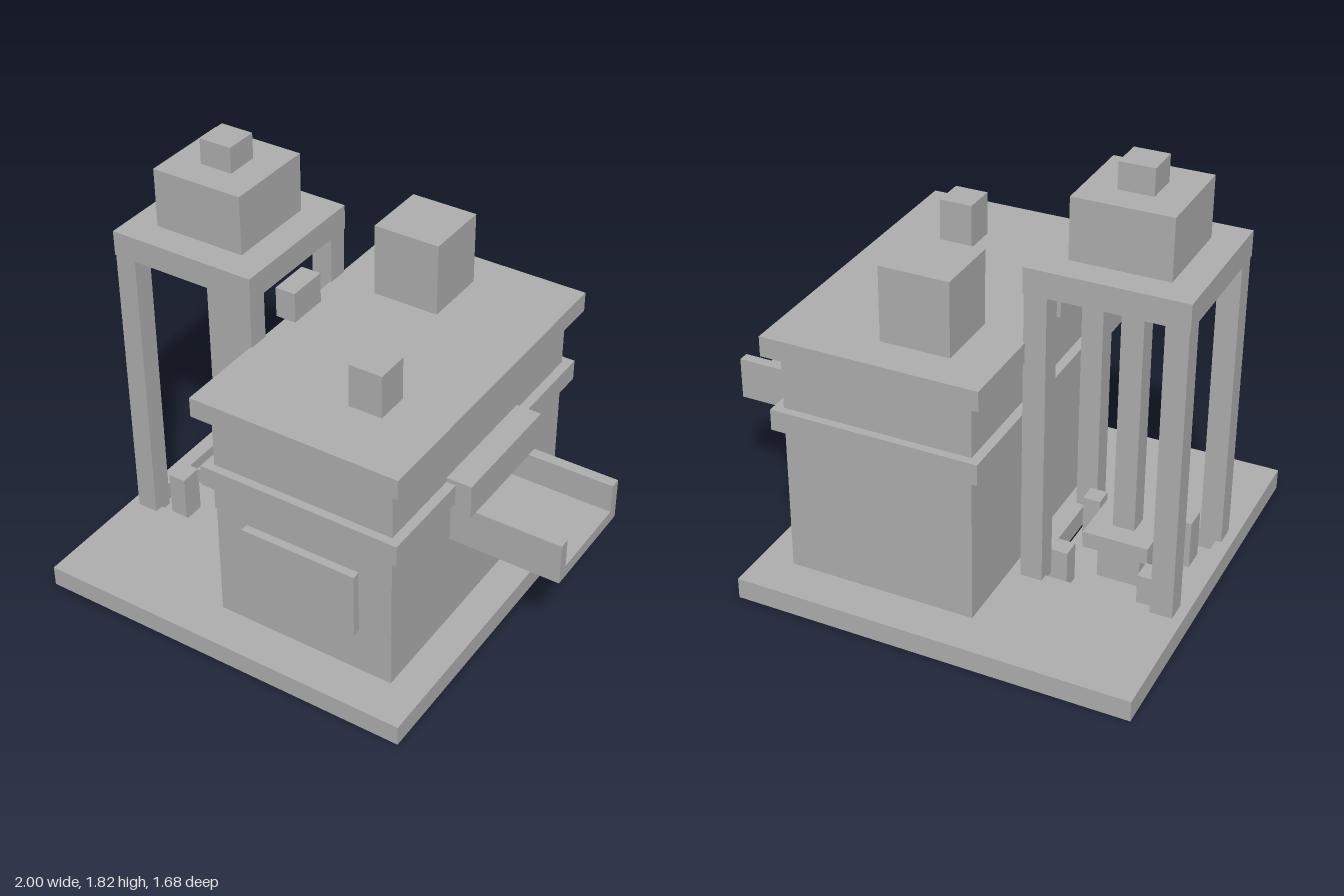
import * as THREE from 'three';

const grey = new THREE.MeshStandardMaterial({ color: 0xb0b0b0 });
grey.name = 'plain grey';

// Box given by its limits on each axis
function block(parent, name, [x0, x1], [y0, y1], [z0, z1]) {
  const mesh = new THREE.Mesh(new THREE.BoxGeometry(x1 - x0, y1 - y0, z1 - z0), grey);
  mesh.position.set((x0 + x1) / 2, (y0 + y1) / 2, (z0 + z1) / 2);
  mesh.name = name;
  parent.add(mesh);
  return mesh;
}

function rectangle(target, x0, x1, y0, y1) {
  target.moveTo(x0, y0).lineTo(x1, y0).lineTo(x1, y1).lineTo(x0, y1).closePath();
  return target;
}

function group(parent, name) {
  const g = new THREE.Group();
  g.name = name;
  parent.add(g);
  return g;
}

export function createModel() {
  const model = new THREE.Group();
  model.name = 'workshop';

  // Base slab with a square pit under the tower
  const ground = group(model, 'ground');
  const slab = rectangle(new THREE.Shape(), -1, 0.67, -0.838, 0.838);
  slab.holes.push(rectangle(new THREE.Path(), -0.935, -0.355, -0.285, 0.285));
  const slabGeometry = new THREE.ExtrudeGeometry(slab, { depth: 0.09, bevelEnabled: false });
  slabGeometry.rotateX(-Math.PI / 2);
  const base = new THREE.Mesh(slabGeometry, grey);
  base.name = 'baseSlab';
  ground.add(base);
  block(ground, 'pitFloor', [-0.935, -0.365], [0.001, 0.008], [-0.275, 0.275]);

  // Main building
  const house = group(model, 'building');
  block(house, 'walls', [-0.27, 0.525], [0.09, 1.06], [-0.655, 0.655]);
  block(house, 'wallBand', [-0.31, 0.565], [0.73, 0.82], [-0.69, 0.69]);
  block(house, 'roof', [-0.325, 0.58], [1.06, 1.145], [-0.71, 0.71]);
  block(house, 'frontPanel', [-0.13, 0.38], [0.295, 0.585], [0.65, 0.69]);
  block(house, 'largeChimney', [-0.13, 0.16], [1.145, 1.457], [-0.545, -0.255]);
  block(house, 'smallChimney', [0.197, 0.34], [1.145, 1.33], [0.29, 0.435]);

  // Chute with raised sides, below a lintel
  const chute = group(model, 'chute');
  block(chute, 'chuteFloor', [0.52, 1], [0.512, 0.565], [-0.233, 0.233]);
  block(chute, 'lintel', [0.52, 0.633], [0.69, 0.84], [-0.272, 0.272]);
  for (const side of [-1, 1]) {
    const z = [side * 0.187, side * 0.233].sort((a, b) => a - b);
    block(chute, 'chuteSide', [0.52, 1], [0.565, 0.692], z);
  }

  // Tower on four posts
  const tower = group(model, 'tower');
  for (const x of [-0.912, -0.364]) {
    for (const z of [-0.277, 0.277]) {
      block(tower, 'post', [x - 0.046, x + 0.046], [0.07, 1.35], [z - 0.046, z + 0.046]);
    }
  }
  block(tower, 'towerRoof', [-0.962, -0.314], [1.35, 1.457], [-0.325, 0.325]);
  block(tower, 'towerBox', [-0.84, -0.438], [1.457, 1.71], [-0.201, 0.201]);
  block(tower, 'towerCap', [-0.71, -0.567], [1.71, 1.82], [-0.072, 0.072]);
  block(tower, 'sideBox', [-0.365, -0.276], [1.145, 1.277], [-0.09, 0.09]);

  // Central ram on its stepped foot
  block(tower, 'ram', [-0.685, -0.593], [0.235, 1.35], [-0.046, 0.046]);
  block(tower, 'ramPlate', [-0.778, -0.503], [0.165, 0.236], [-0.138, 0.138]);
  block(tower, 'ramFoot', [-0.73, -0.55], [0.008, 0.165], [-0.09, 0.09]);

  // Loose blocks standing in the pit corners
  const loose = group(model, 'looseBlocks');
  block(loose, 'looseBlock', [-0.865, -0.787], [0.008, 0.22], [0.12, 0.22]);
  block(loose, 'looseBlock', [-0.86, -0.778], [0.008, 0.18], [-0.24, -0.15]);
  block(loose, 'looseBlock', [-0.478, -0.4], [0.008, 0.18], [-0.23, -0.15]);
  block(loose, 'looseBlock', [-0.465, -0.39], [0.008, 0.2], [0.13, 0.21]);

  return model;
}
